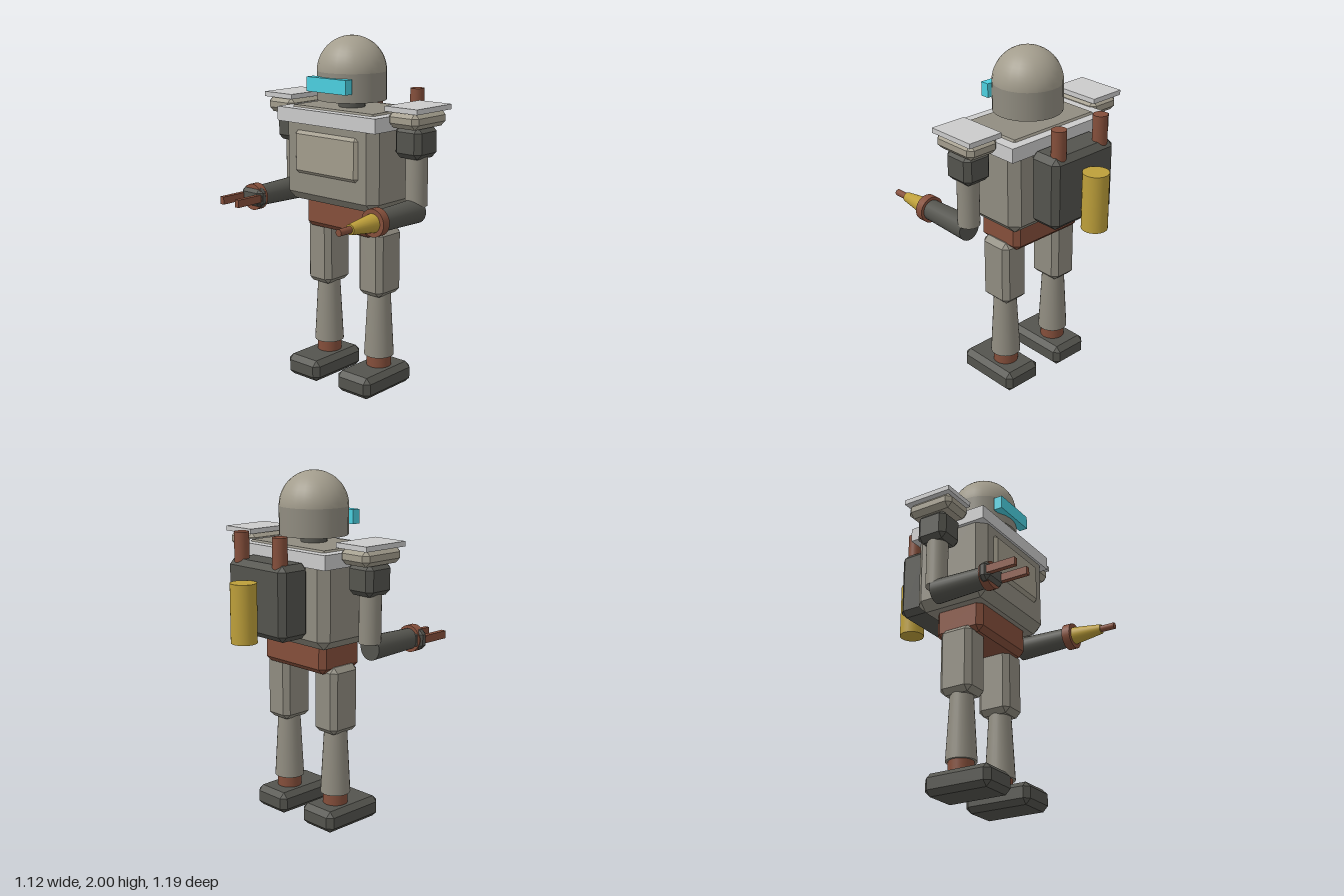
import * as THREE from 'three';
import { ConvexGeometry } from 'three/addons/geometries/ConvexGeometry.js';

const mat = (color, flatShading = false) => new THREE.MeshStandardMaterial({ color, flatShading });
const grey = mat(0xcccccc);
const body = mat(0x908c80);
const pale = mat(0xa39d8d);
const dark = mat(0x54544e);
const rust = mat(0x854f3b);
const brass = mat(0xbd9f3a);
const cyan = mat(0x4bd0e0);

// Box with every edge cut flat by c
function chamferGeometry(w, h, d, c) {
  const points = [];
  for (const x of [-w / 2, w / 2]) for (const y of [-h / 2, h / 2]) for (const z of [-d / 2, d / 2]) {
    const inX = x - Math.sign(x) * c, inY = y - Math.sign(y) * c, inZ = z - Math.sign(z) * c;
    points.push(new THREE.Vector3(x, inY, inZ), new THREE.Vector3(inX, y, inZ), new THREE.Vector3(inX, inY, z));
  }
  return new ConvexGeometry(points);
}

function add(group, name, geometry, material, x, y, z) {
  const mesh = new THREE.Mesh(geometry, material);
  mesh.name = name;
  mesh.position.set(x, y, z);
  group.add(mesh);
  return mesh;
}

// Boxes are given by their extents [min, max] on each axis; c is the chamfer
function block(group, name, material, [x0, x1], [y0, y1], [z0, z1], c = 0) {
  const size = [x1 - x0, y1 - y0, z1 - z0];
  const geometry = c ? chamferGeometry(...size, c) : new THREE.BoxGeometry(...size);
  return add(group, name, geometry, material, (x0 + x1) / 2, (y0 + y1) / 2, (z0 + z1) / 2);
}

// Upright cylinder from y0 to y1
function post(group, name, material, rTop, rBottom, x, [y0, y1], z) {
  return add(group, name, new THREE.CylinderGeometry(rTop, rBottom, y1 - y0, 24), material, x, (y0 + y1) / 2, z);
}

// Cylinder lying along z from z0 to z1
function barrel(group, name, material, rFront, rBack, x, y, [z0, z1]) {
  const geometry = new THREE.CylinderGeometry(rFront, rBack, z1 - z0, 24).rotateX(Math.PI / 2);
  return add(group, name, geometry, material, x, y, (z0 + z1) / 2);
}

const around = (centre, half) => [centre - half, centre + half];
const LIMB_Z = -0.028;
const HAND_Y = 1.08;

function makeLeg(side) {
  const leg = new THREE.Group();
  const x = side * 0.194;
  block(leg, 'foot', dark, around(x, 0.122), [0, 0.125], [-0.19, 0.217], 0.03);
  post(leg, 'ankle', rust, 0.071, 0.071, x, [0.11, 0.2], LIMB_Z);
  post(leg, 'shin', body, 0.065, 0.086, x, [0.19, 0.57], LIMB_Z);
  block(leg, 'thigh', body, around(x, 0.087), [0.557, 0.945], around(LIMB_Z, 0.102), 0.03);
  return leg;
}

function makeArm(side) {
  const arm = new THREE.Group();
  const x = side * 0.45;
  block(arm, 'shoulderPlate', grey, around(side * 0.452, 0.108), [1.627, 1.655], [-0.18, 0.117]);
  block(arm, 'shoulderPad', pale, around(x, 0.1), [1.54, 1.63], [-0.17, 0.115], 0.028);
  block(arm, 'shoulderJoint', dark, around(side * 0.443, 0.088), [1.373, 1.548], around(LIMB_Z, 0.093), 0.03);
  post(arm, 'upperArm', body, 0.061, 0.061, x, [1.11, 1.4], LIMB_Z);
  barrel(arm, 'forearm', dark, 0.058, 0.068, x, HAND_Y, [LIMB_Z, 0.3]);
  barrel(arm, 'wristRing', rust, 0.076, 0.076, x, HAND_Y, [0.288, 0.337]);
  return arm;
}

// Tapered nozzle tool on the left arm
function addNozzle(arm) {
  barrel(arm, 'nozzle', brass, 0.028, 0.052, 0.45, HAND_Y, [0.33, 0.512]);
  barrel(arm, 'nozzleTip', rust, 0.019, 0.019, 0.45, HAND_Y, [0.5, 0.597]);
}

// Two-pronged gripper on the right arm
function addGripper(arm) {
  block(arm, 'gripperBase', dark, around(-0.453, 0.081), around(HAND_Y, 0.056), [0.283, 0.356], 0.025);
  for (const s of [-1, 1]) {
    block(arm, 'gripperProng', rust, around(-0.453 + s * 0.061, 0.014), around(HAND_Y, 0.022), [0.34, 0.512]);
  }
}

function makeTorso() {
  const torso = new THREE.Group();
  block(torso, 'pelvis', rust, around(0, 0.244), [0.91, 1.1], [-0.18, 0.122], 0.03);
  block(torso, 'chest', body, around(0, 0.338), [1.072, 1.608], [-0.265, 0.2], 0.05);
  block(torso, 'chestPanel', pale, around(0, 0.235), [1.232, 1.482], [0.15, 0.218], 0.022);
  block(torso, 'collarPlate', grey, around(0, 0.36), [1.518, 1.598], [-0.278, 0.214]);
  return torso;
}

function makeHead() {
  const head = new THREE.Group();
  const r = 0.194, z = -0.012, base = 1.806;
  post(head, 'neck', dark, 0.074, 0.074, 0, [1.58, 1.67], z);
  post(head, 'headBase', body, r, r, 0, [1.648, base], z);
  add(head, 'dome', new THREE.SphereGeometry(r, 24, 12, 0, Math.PI * 2, 0, Math.PI / 2), pale, 0, base, z);
  block(head, 'visor', cyan, around(0, 0.143), [1.7, 1.78], [0.15, 0.202]);
  return head;
}

function makeBackpack() {
  const pack = new THREE.Group();
  block(pack, 'packCase', dark, around(0, 0.225), [1.132, 1.54], [-0.455, -0.255], 0.032);
  for (const s of [-1, 1]) post(pack, 'exhaustPipe', rust, 0.041, 0.041, s * 0.154, [1.48, 1.685], -0.403);
  post(pack, 'tank', brass, 0.072, 0.072, 0, [1.115, 1.44], -0.525);
  return pack;
}

export function createModel() {
  const model = new THREE.Group();
  model.name = 'robot';
  const include = (name, part) => {
    part.name = name;
    model.add(part);
    return part;
  };
  include('torso', makeTorso());
  include('head', makeHead());
  include('backpack', makeBackpack());
  include('leftLeg', makeLeg(1));
  include('rightLeg', makeLeg(-1));
  addNozzle(include('leftArm', makeArm(1)));
  addGripper(include('rightArm', makeArm(-1)));
  return model;
}
